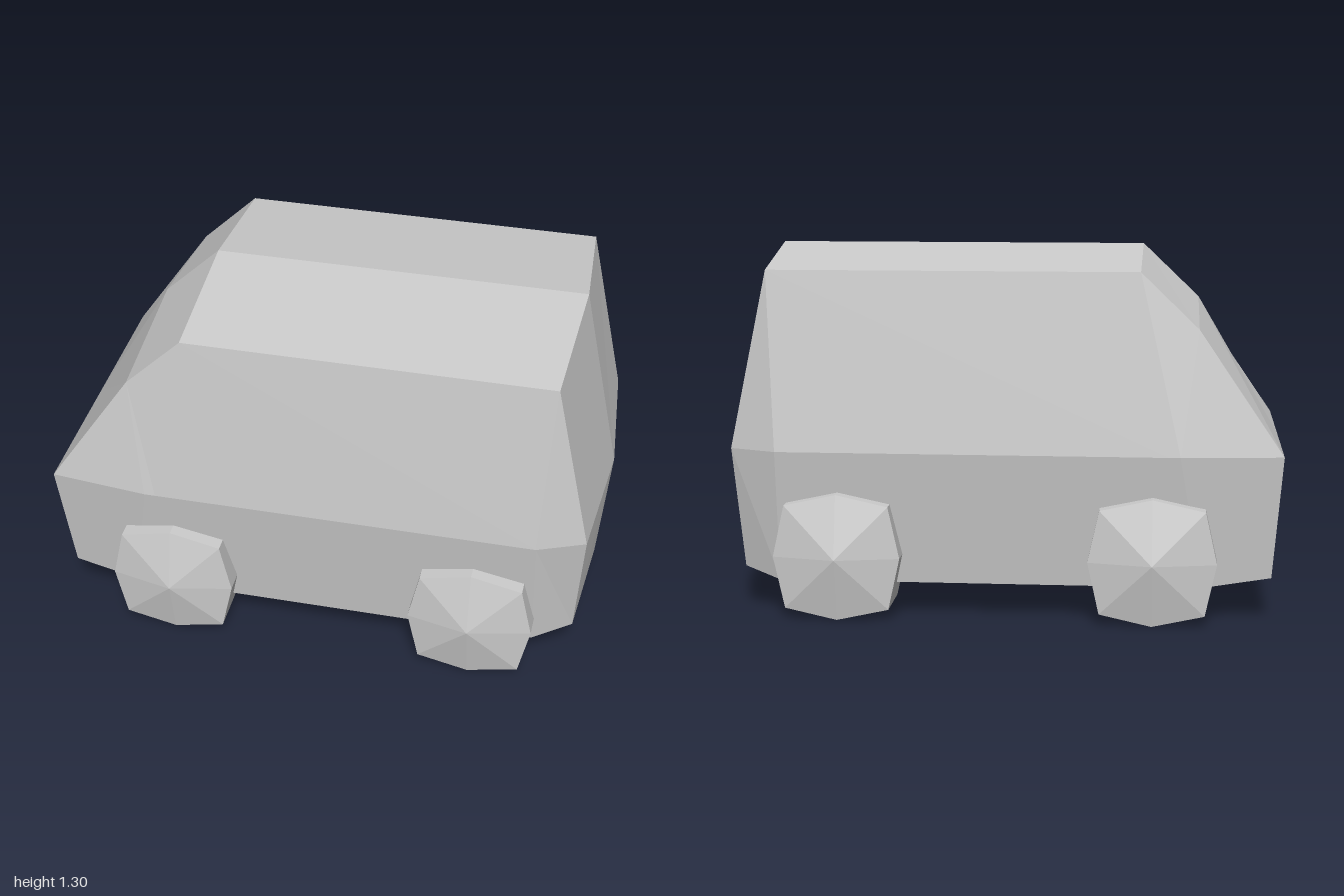
import * as THREE from 'three';

const material = new THREE.MeshStandardMaterial({ color: 0xcccccc, flatShading: true });

// Skins a row of rings (counter-clockwise seen from the far end) and closes
// each end with a fan around a centre point.
function loft(rings, startCentre, endCentre) {
  const positions = [];
  const ab = new THREE.Vector3();
  const ac = new THREE.Vector3();
  const triangle = (a, b, c) => {
    ab.subVectors(b, a);
    ac.subVectors(c, a);
    if (ab.cross(ac).length() < 1e-6) return; // merged corners
    for (const p of [a, b, c]) positions.push(p.x, p.y, p.z);
  };
  const n = rings[0].length;
  const last = rings[rings.length - 1];
  for (let i = 0; i < n; i++) {
    const j = (i + 1) % n;
    for (let r = 0; r < rings.length - 1; r++) {
      const near = rings[r], far = rings[r + 1];
      triangle(near[i], near[j], far[j]);
      triangle(near[i], far[j], far[i]);
    }
    triangle(startCentre, rings[0][j], rings[0][i]);
    triangle(endCentre, last[i], last[j]);
  }
  const geometry = new THREE.BufferGeometry();
  geometry.setAttribute('position', new THREE.Float32BufferAttribute(positions, 3));
  geometry.computeVertexNormals();
  return geometry;
}

const v = (x, y, z) => new THREE.Vector3(x, y, z);

function createBody() {
  // Half sections from nose to tail: roof ridge, shoulder, waist, sill, floor
  const sections = [
    [[-1, 0.6, 0], [-1, 0.6, 0.54], [-1, 0.6, 0.54], [-0.965, 0.157, 0.485], [-0.965, 0.157, 0]],
    [[-0.7, 1.11, 0], [-0.7, 1.04, 0.51], [-0.64, 0.6, 0.58], [-0.72, 0.122, 0.51], [-0.72, 0.122, 0]],
    [[-0.495, 1.306, 0], [-0.495, 1.238, 0.51], [-0.6, 0.6, 0.58], [-0.6, 0.122, 0.51], [-0.6, 0.122, 0]],
    [[0.855, 1.306, 0], [0.825, 1.238, 0.51], [0.79, 0.6, 0.58], [0.79, 0.122, 0.51], [0.79, 0.122, 0]],
    [[0.855, 1.306, 0], [0.825, 1.238, 0.51], [0.96, 0.6, 0.51], [0.93, 0.155, 0.44], [0.96, 0.155, 0]],
  ];
  const rings = sections.map((half) => [
    ...half.map(([x, y, z]) => v(x, y, z)),
    ...half.slice(1, 4).reverse().map(([x, y, z]) => v(x, y, -z)),
  ]);
  const body = new THREE.Mesh(loft(rings, v(-1, 0.6, 0), v(1, 0.6, 0)), material);
  body.name = 'vanBody';
  return body;
}

function createWheelGeometry() {
  // Eight-sided block with a low point on each face
  const ring = (z) => Array.from({ length: 8 }, (_, i) => {
    const angle = i * Math.PI / 4;
    const radius = i % 2 ? 0.262 : 0.226;
    return v(radius * Math.cos(angle), radius * Math.sin(angle), z);
  });
  return loft([ring(-0.113), ring(0.113)], v(0, 0, -0.163), v(0, 0, 0.163));
}

export function createModel() {
  const model = new THREE.Group();
  model.name = 'van';
  model.add(createBody());

  // Four wheels, one pair at each end
  const wheelGeometry = createWheelGeometry();
  for (const [end, x] of [['nose', -0.545], ['tail', 0.57]]) {
    for (const [side, z] of [['Near', 0.492], ['Far', -0.492]]) {
      const wheel = new THREE.Mesh(wheelGeometry, material);
      wheel.name = `${end}Wheel${side}`;
      wheel.position.set(x, 0.228, z);
      model.add(wheel);
    }
  }
  return model;
}
